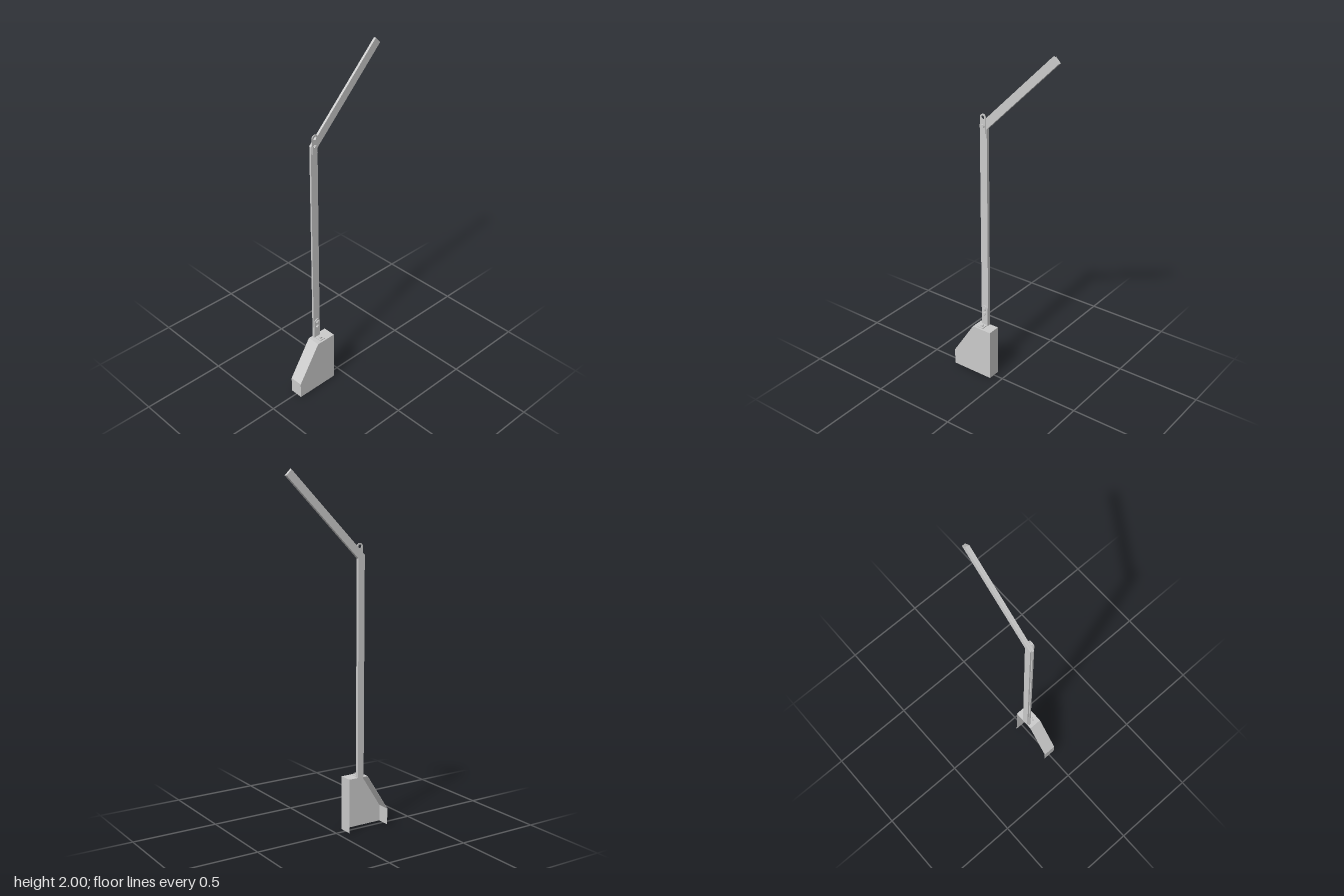
import * as THREE from 'three';

const material = new THREE.MeshStandardMaterial({ color: 0xcccccc, flatShading: true, side: THREE.DoubleSide });

const shapeOf = (points) => new THREE.Shape(points.map(([x, y]) => new THREE.Vector2(x, y)));

// Extrudes an outline drawn in the xy plane from z0 to z1
function slab(name, shape, z0, z1) {
  const geometry = new THREE.ExtrudeGeometry(shape, { depth: z1 - z0, bevelEnabled: false, curveSegments: 16 });
  geometry.translate(0, 0, z0);
  const mesh = new THREE.Mesh(geometry, material);
  mesh.name = name;
  return mesh;
}

// Hexagonal bolt head on a round washer, pointing along +y
function bolt(name, x, y, z) {
  const group = new THREE.Group();
  group.name = name;
  const washer = new THREE.Mesh(new THREE.CylinderGeometry(0.011, 0.011, 0.002, 20), material);
  washer.position.y = 0.001;
  const head = new THREE.Mesh(new THREE.CylinderGeometry(0.01, 0.01, 0.007, 6), material);
  head.rotation.y = Math.PI / 6;
  head.position.y = 0.0055;
  group.add(washer, head);
  group.position.set(x, y, z);
  return group;
}

// Plate with a rounded top
function roundedPlate(x, bottom, top, radius) {
  const shape = new THREE.Shape();
  shape.moveTo(x - radius, bottom);
  shape.lineTo(x + radius, bottom);
  shape.lineTo(x + radius, top - radius);
  shape.absarc(x, top - radius, radius, 0, Math.PI, false);
  shape.closePath();
  return shape;
}

export function createModel() {
  const model = new THREE.Group();
  model.name = 'postWithAngledArm';
  const back = -0.039, front = 0.038, baseTop = 0.312;
  const left = -0.163, right = -0.117, cx = -0.139;

  // Base cover: front sheet with a folded rim, open at the back and bottom
  const t = 0.002;
  const outer = [[-0.061, 0], [-0.061, baseTop], [-0.184, baseTop], [-0.323, 0.095], [-0.323, 0]];
  const inner = [[-0.323 + t, 0], [-0.323 + t, 0.0945], [-0.183, baseTop - t], [-0.061 - t, baseTop - t], [-0.061 - t, 0]];
  model.add(slab('baseFrontSheet', shapeOf(outer), front - t, front));
  model.add(slab('baseRim', shapeOf([...outer, ...inner]), back, front - t));

  // Post and 45 degree arm, mitred; the rear half is rebated on the outer side
  const kneeY = 1.53, endX = 0.323;
  const miter = Math.tan(Math.PI / 8);
  const layer = (rebate, z0, z1) => {
    const w = right - left - rebate;
    const d = w * Math.SQRT1_2;
    const knee = kneeY + w * miter;
    const endY = kneeY + endX - right;
    const post = [[right - w, baseTop], [right, baseTop], [right, kneeY], [right - w, knee]];
    const arm = [[right, kneeY], [endX, endY], [endX - d, endY + d], [right - w, knee]];
    model.add(slab('post', shapeOf(post), z0, z1), slab('arm', shapeOf(arm), z0, z1));
  };
  layer(0, -0.03, -0.02);
  layer(0.007, back, -0.03);

  // Eye bracket at the top of the post
  const eye = roundedPlate(cx, 1.505, 1.612, 0.0185);
  eye.holes.push(new THREE.Path().absarc(cx, 1.5935, 0.01, 0, Math.PI * 2, true));
  model.add(slab('eyeBracket', eye, -0.02, -0.015));

  // Angle bracket fixing the post to the base
  model.add(slab('footBracketUpright', roundedPlate(cx, baseTop, 0.44, 0.0185), -0.02, -0.015));
  const foot = new THREE.Mesh(new THREE.BoxGeometry(0.037, 0.005, 0.047), material);
  foot.name = 'footBracketPlate';
  foot.position.set(cx, baseTop + 0.0025, 0.0035);
  model.add(foot);

  // Bolts
  model.add(bolt('footBolt', cx, baseTop + 0.005, 0.008));
  for (const y of [0.388, 0.42, 1.545]) {
    const b = bolt('postBolt', cx, y, -0.015);
    b.rotation.x = Math.PI / 2;
    model.add(b);
  }
  return model;
}
